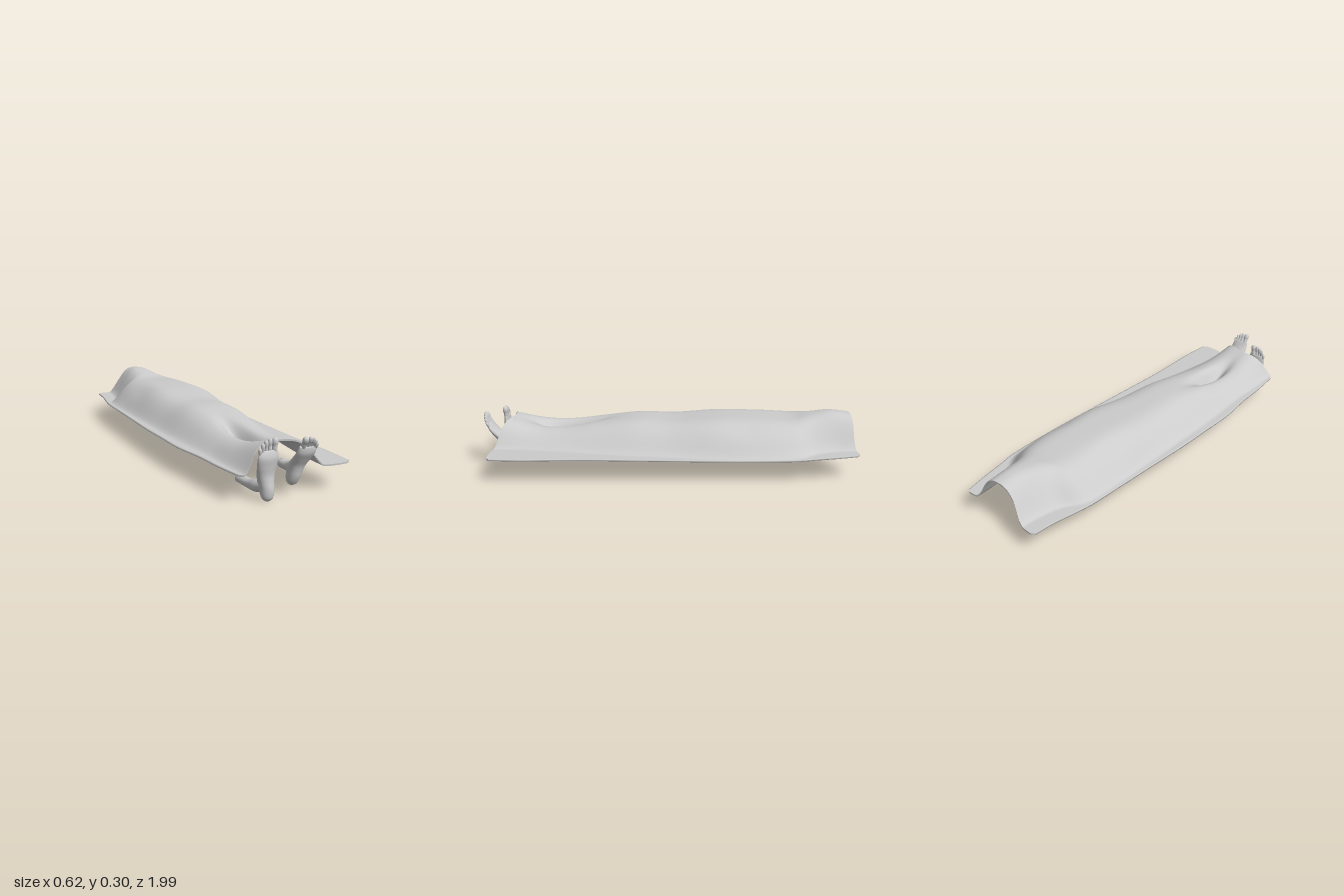
import * as THREE from 'three';

const material = new THREE.MeshStandardMaterial({ color: 0xcccccc, side: THREE.DoubleSide });

// Smooth interpolation through rows [key, value, value...]
function sample(rows, key) {
  const last = rows.length - 1;
  let i = 0;
  while (i < last - 1 && key > rows[i + 1][0]) i++;
  const a = rows[i], b = rows[i + 1];
  const p = rows[Math.max(i - 1, 0)], q = rows[Math.min(i + 2, last)];
  const h = b[0] - a[0];
  const t = THREE.MathUtils.clamp((key - a[0]) / h, 0, 1), t2 = t * t, t3 = t2 * t;
  return a.slice(1).map((v, k) => {
    const m0 = (b[k + 1] - p[k + 1]) / (b[0] - p[0]) * h;
    const m1 = (q[k + 1] - v) / (q[0] - a[0]) * h;
    return (2 * t3 - 3 * t2 + 1) * v + (t3 - 2 * t2 + t) * m0
      + (3 * t2 - 2 * t3) * b[k + 1] + (t3 - t2) * m1;
  });
}

// Skin a list of closed rings of equal length
function loft(rings) {
  const n = rings[0].length, index = [];
  for (let i = 0; i < rings.length - 1; i++) {
    for (let j = 0; j < n; j++) {
      const a = i * n + j, b = i * n + (j + 1) % n;
      index.push(a, a + n, b, b, a + n, b + n);
    }
  }
  const g = new THREE.BufferGeometry();
  g.setAttribute('position', new THREE.Float32BufferAttribute(rings.flat(2), 3));
  g.setIndex(index);
  g.computeVertexNormals();
  return g;
}

function mesh(name, geometry) {
  const m = new THREE.Mesh(geometry, material);
  m.name = name;
  return m;
}

// Along the sheet: z, left edge x, right edge x, peak y, bump start x, bump end x, flatness
const SHEET = [
  [-0.98, -0.24, 0.23, 0.292, -0.17, 0.17, 2.6],
  [-0.87, -0.25, 0.255, 0.302, -0.18, 0.18, 2.6],
  [-0.76, -0.27, 0.275, 0.288, -0.21, 0.22, 2.8],
  [-0.66, -0.285, 0.295, 0.272, -0.27, 0.28, 3.6],
  [-0.45, -0.293, 0.303, 0.28, -0.28, 0.3, 4],
  [-0.25, -0.3, 0.303, 0.28, -0.28, 0.29, 4],
  [0, -0.31, 0.297, 0.262, -0.28, 0.26, 3.6],
  [0.2, -0.31, 0.292, 0.266, -0.28, 0.24, 3.4],
  [0.4, -0.31, 0.287, 0.243, -0.27, 0.21, 3.4],
  [0.6, -0.287, 0.29, 0.217, -0.26, 0.18, 3.6],
  [0.75, -0.28, 0.295, 0.217, -0.26, 0.16, 4],
  [0.92, -0.262, 0.288, 0.254, -0.25, 0.15, 4],
];
// Across the sheet: position, z of the head end, z of the foot end
const ENDS = [
  [0, -0.975, 0.87], [0.04, -0.99, 0.89], [0.2, -0.985, 0.85], [0.32, -0.968, 0.835],
  [0.5, -0.975, 0.86], [0.65, -0.982, 0.895], [0.78, -0.985, 0.925],
  [0.96, -0.998, 0.93], [1, -0.985, 0.915],
];

function sheetPoint(u, w) {
  const z0 = -0.98 + 1.9 * w;
  const [left, right, peak, a, b, flat] = sample(SHEET, z0);
  const [back, front] = sample(ENDS, u);
  const x = left + (right - left) * u;
  const t = Math.min(1, Math.abs((x - (a + b) / 2) / ((b - a) / 2)));
  let y = 0.133 + (peak - 0.133) * (1 - t ** flat) ** 2;
  // Sag between the legs
  y -= 0.075 * Math.exp(-(((x + 0.055) / 0.037) ** 2) - ((z0 - 0.6) / 0.15) ** 2);
  // Shallow folds beside the chest
  y -= 0.01 * Math.exp(-(((Math.abs(x) - 0.17) / 0.05) ** 2) - ((z0 + 0.4) / 0.12) ** 2);
  return [x, y, back + (front - back) * w];
}

function buildSheet() {
  const across = 80, along = 140, rings = [];
  for (let i = 0; i <= along; i++) {
    const w = (1 - Math.cos(Math.PI * i / along)) / 2;
    const thick = i === 0 || i === along ? 0 : 0.008;
    const top = [];
    for (let j = 0; j <= across; j++) top.push(sheetPoint(j / across, w));
    const under = top.map(([x, y, z]) => [x, y - thick, z]).reverse();
    rings.push([...top, ...under]);
  }
  return mesh('sheet', loft(rings));
}

// Heel to ball of the foot: height, centre x, half width, sole z, instep z
const FOOT = [
  [0, 0, 0.012, -0.018, -0.034],
  [0.01, 0, 0.024, -0.007, -0.05],
  [0.03, 0, 0.031, -0.001, -0.062],
  [0.06, -0.001, 0.034, 0, -0.074],
  [0.09, -0.003, 0.038, -0.005, -0.076],
  [0.12, -0.005, 0.043, -0.008, -0.066],
  [0.16, -0.007, 0.049, -0.003, -0.048],
  [0.195, -0.008, 0.051, 0.002, -0.036],
  [0.215, -0.007, 0.049, -0.001, -0.031],
  [0.232, -0.002, 0.042, -0.007, -0.027],
];
// Toes: base x, base y, tip x, tip y, pad radius
const TOES = [
  [0.021, 0.215, 0.024, 0.285, 0.0145],
  [-0.003, 0.218, -0.002, 0.284, 0.0105],
  [-0.02, 0.212, -0.021, 0.278, 0.0098],
  [-0.035, 0.204, -0.037, 0.265, 0.0092],
  [-0.047, 0.195, -0.051, 0.246, 0.0085],
];

function buildFoot(name) {
  const foot = new THREE.Group();
  foot.name = name;
  const rings = [];
  const ring = (y, s) => {
    const [cx, half, sole, top] = sample(FOOT, y);
    return Array.from({ length: 32 }, (_, j) => {
      const a = j / 32 * Math.PI * 2;
      return [cx + s * half * Math.cos(a), y, (sole + top) / 2 + s * (sole - top) / 2 * Math.sin(a)];
    });
  };
  rings.push(ring(0, 0));
  for (let i = 0; i <= 36; i++) rings.push(ring(0.232 * i / 36, 1));
  rings.push(ring(0.232, 0));
  foot.add(mesh('footBody', loft(rings)));

  // Each toe has a slim neck and a round pad, curling gently back
  for (const [bx, by, tx, ty, r] of TOES) {
    const length = Math.hypot(tx - bx, ty - by);
    const profile = new THREE.SplineCurve([
      [0.6, 0], [0.8, 0.3], [0.8, 0.5], [1, 0.72], [0.85, 0.9], [0.45, 0.985], [0, 1],
    ].map(([k, v]) => new THREE.Vector2(k * r, v * length))).getPoints(22);
    profile.forEach(p => { p.x = Math.max(p.x, 0); });
    const toe = mesh('toe', new THREE.LatheGeometry(profile, 16));
    toe.position.set(bx, by, -0.017);
    toe.rotation.set(0.06, 0, -Math.atan2(tx - bx, ty - by));
    foot.add(toe);
  }
  return foot;
}

// Short lower leg: path points with a radius at each, closed at the far end
function buildLeg(name, path) {
  const rows = path.map(([x, y, z, r]) => [z, x, y, r]);
  const z0 = rows[0][0], z1 = rows[rows.length - 1][0], rings = [];
  for (let i = 0; i <= 20; i++) {
    const z = z0 + (z1 - z0) * i / 20;
    const [x, y, r] = sample(rows, z);
    const at = s => Array.from({ length: 24 }, (_, j) => {
      const a = j / 24 * Math.PI * 2;
      return [x + s * r * 1.1 * Math.cos(a), y + s * r * Math.sin(a), z];
    });
    if (i === 0) rings.push(at(0).map(p => [...p]));
    rings.push(at(1).reverse());
  }
  return mesh(name, loft(rings));
}

export function createModel() {
  const model = new THREE.Group();
  model.name = 'coveredFigure';
  model.add(buildSheet());

  const rightFoot = buildFoot('rightFoot');
  rightFoot.position.set(-0.126, 0, 0.915);
  model.add(rightFoot);
  model.add(buildLeg('rightLeg', [
    [-0.146, 0.045, 0.68, 0.021], [-0.144, 0.046, 0.77, 0.023],
    [-0.14, 0.055, 0.83, 0.031], [-0.131, 0.066, 0.875, 0.03],
  ]));

  const leftFoot = buildFoot('leftFoot');
  leftFoot.scale.set(-0.97, 0.95, 0.95);
  leftFoot.position.set(0.012, 0.038, 0.885);
  leftFoot.rotation.set(0.41, 0, -0.05);
  model.add(leftFoot);
  model.add(buildLeg('leftLeg', [
    [0.05, 0.103, 0.73, 0.022], [0.047, 0.106, 0.79, 0.024],
    [0.04, 0.116, 0.835, 0.031], [0.024, 0.126, 0.885, 0.028],
  ]));
  return model;
}
